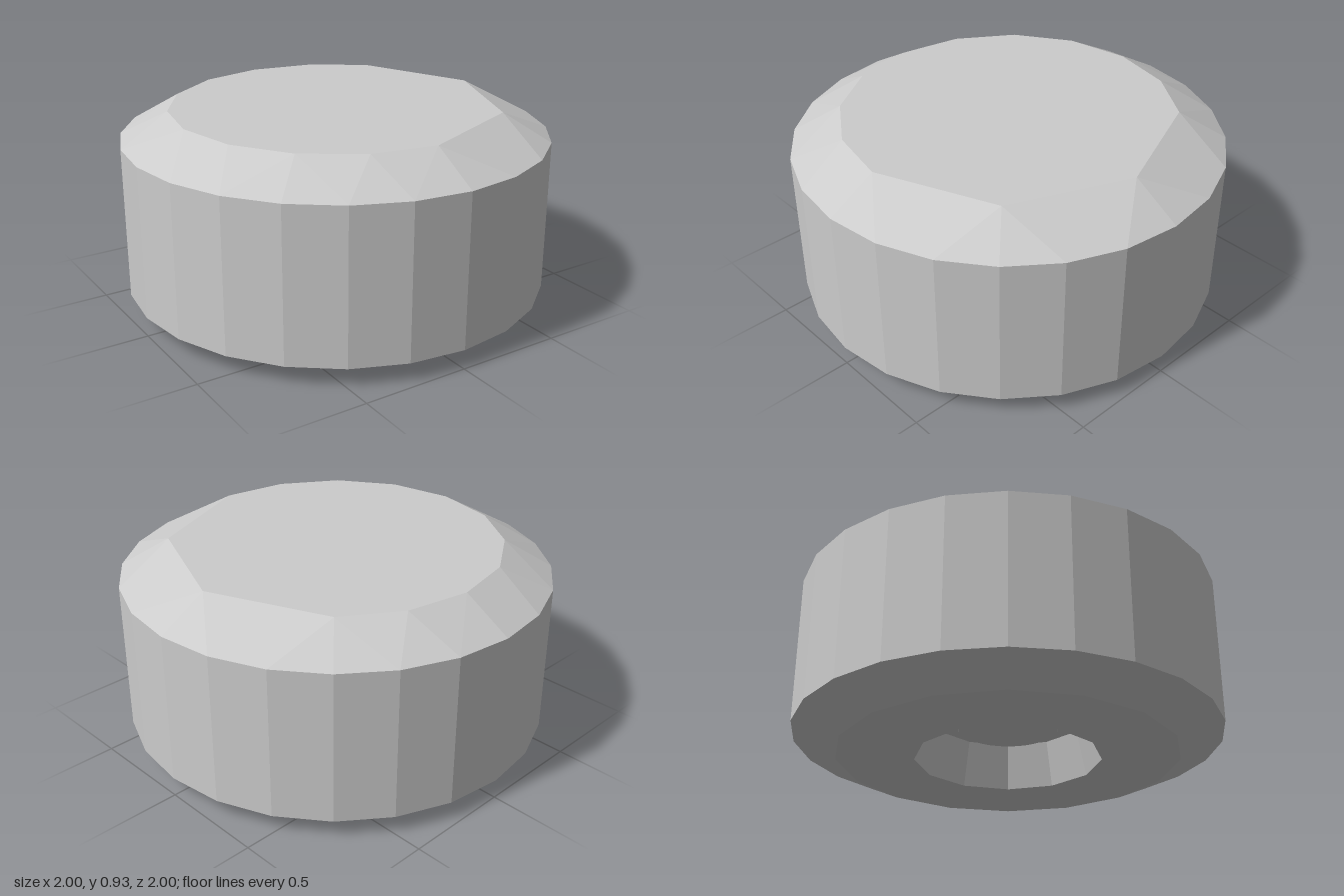
import * as THREE from 'three';

// Ring of n points at radius r and height y; skipped corners are left out
function ring(n, r, y, offset = 0, skip = []) {
  const points = [];
  for (let k = 0; k < n; k++) {
    if (skip.includes(k)) continue;
    const a = offset + (k / n) * Math.PI * 2;
    points.push({ a, p: [r * Math.cos(a), y, -r * Math.sin(a)] });
  }
  return points;
}

// Direction an edge of a ring faces; a single point has no edges
function edgeAngle(points, i) {
  const n = points.length;
  if (n === 1 || i >= n) return Infinity;
  const next = i + 1 < n ? points[i + 1].a : points[0].a + Math.PI * 2;
  return (points[i].a + next) / 2;
}

// Stitches two rings of any corner counts, taking edges in order of angle
function band(from, to, out) {
  const at = (points, i) => points[i % points.length].p;
  let i = 0, j = 0;
  while (true) {
    const ea = edgeAngle(from, i), eb = edgeAngle(to, j);
    if (ea === Infinity && eb === Infinity) return;
    if (ea <= eb) {
      out.push(...at(from, i), ...at(from, i + 1), ...at(to, j));
      i++;
    } else {
      out.push(...at(to, j), ...at(from, i), ...at(to, j + 1));
      j++;
    }
  }
}

function createPart(name, rings, material) {
  const positions = [];
  for (let i = 0; i + 1 < rings.length; i++) band(rings[i], rings[i + 1], positions);
  const geometry = new THREE.BufferGeometry();
  geometry.setAttribute('position', new THREE.Float32BufferAttribute(positions, 3));
  geometry.computeVertexNormals();
  const mesh = new THREE.Mesh(geometry, material);
  mesh.name = name;
  return mesh;
}

export function createModel() {
  const group = new THREE.Group();
  group.name = 'bevelledDisc';
  const material = new THREE.MeshStandardMaterial({ color: 0xcccccc, flatShading: true });

  const bossBase = ring(32, 0.265, 0.215);
  const holeRim = ring(12, 0.435, 0, Math.PI / 12);
  const bottomEdge = ring(16, 0.8, 0);
  const lowerRim = ring(24, 1, 0.09);
  const upperRim = ring(24, 1, 0.8);
  // Three corners are missing, giving the uneven cut of the top
  const topEdge = ring(16, 0.775, 0.93, 0, [1, 13, 15]);

  group.add(
    // Round boss inside the recess
    createPart('boss', [ring(1, 0, 0.153), ring(32, 0.235, 0.153), bossBase], material),
    // Recess floor and sloping wall
    createPart('recess', [bossBase, ring(12, 0.385, 0.215, Math.PI / 12), holeRim], material),
    createPart('underside', [holeRim, bottomEdge], material),
    createPart('lowerBevel', [bottomEdge, lowerRim], material),
    createPart('sideWall', [lowerRim, upperRim], material),
    createPart('upperBevel', [upperRim, topEdge], material),
    createPart('topFace', [topEdge, ring(1, 0, 0.93)], material),
  );
  return group;
}
